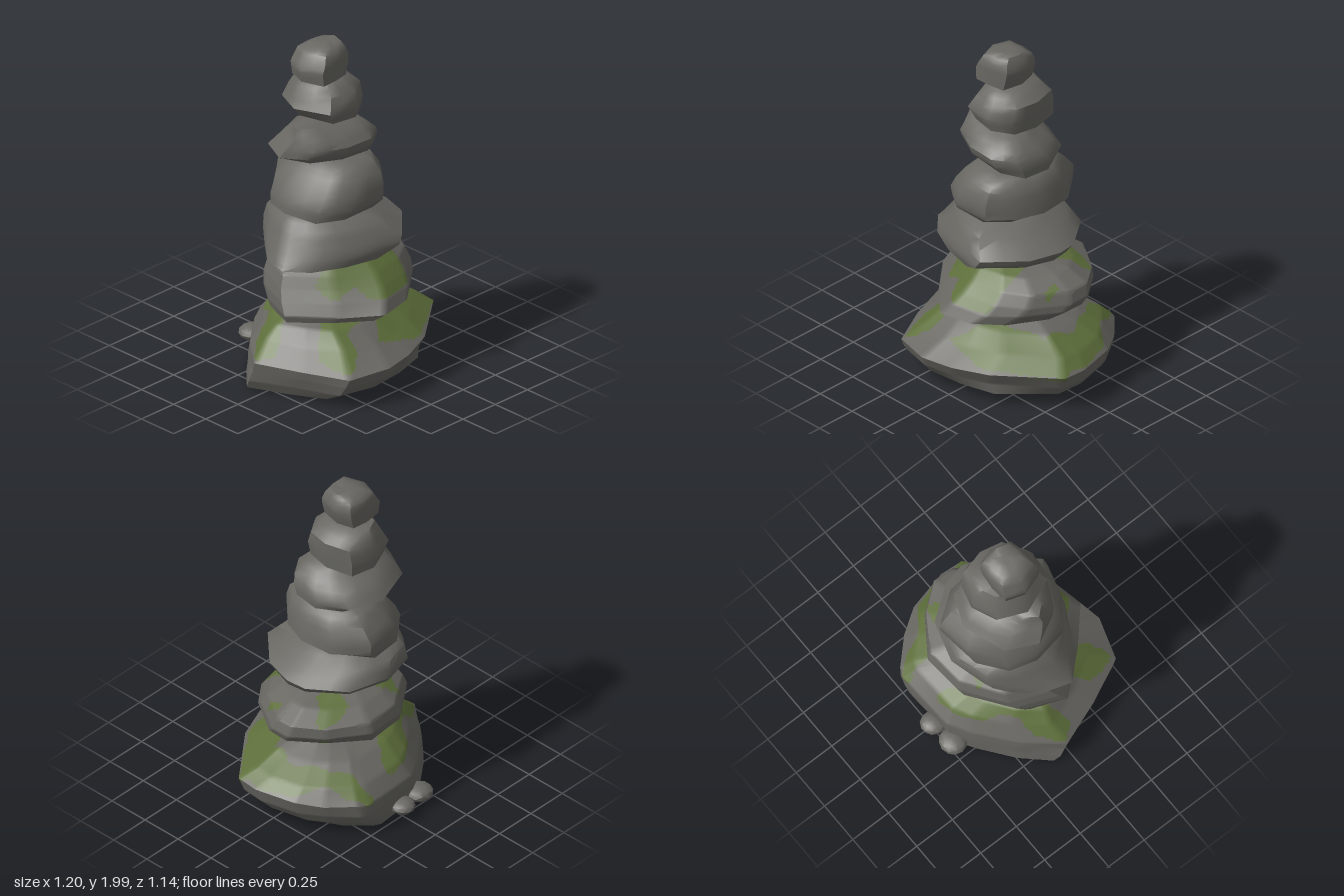
import * as THREE from 'three';
import { toCreasedNormals } from 'three/addons/utils/BufferGeometryUtils.js';

const stone = new THREE.MeshStandardMaterial({ color: 0x686762 });
stone.name = 'grey stone';
const moss = new THREE.MeshStandardMaterial({ color: 0x5e6f3b });
moss.name = 'green moss';

// Small repeatable irregularity in -1..1
const wobble = (a, b, c) => {
  const s = Math.sin(a * 12.99 + b * 78.23 + c * 37.72) * 43758.55;
  return (s - Math.floor(s)) * 2 - 1;
};

function inside(poly, x, z) {
  let hit = false;
  for (let i = 0, j = poly.length - 1; i < poly.length; j = i++) {
    const [ax, az] = poly[i], [bx, bz] = poly[j];
    if ((az > z) !== (bz > z) && x < ((bx - ax) * (z - az)) / (bz - az) + ax) hit = !hit;
  }
  return hit;
}

// A boulder: one plan outline [x, z], fitted into each layer
// [y, xMin, xMax, zMin, zMax, slope along x, slope along z], from bottom to top.
// The outline grows rounder towards the top; foot is a fuller outline for the lowest layers.
function boulder(name, seed, { outline, foot = outline, layers, patches = [], mossFrom = 0 }) {
  const xs = outline.map((p) => p[0]), zs = outline.map((p) => p[1]);
  const x0 = Math.min(...xs), x1 = Math.max(...xs), z0 = Math.min(...zs), z1 = Math.max(...zs);
  const rings = layers.map(([y, ax, bx, az, bz, sx = 0, sz = 0], k) => (k < 3 ? foot : outline).map(([px, pz], i) => {
    const rough = ax === bx ? 0 : 0.006;
    const round = 0.7 * (k / (layers.length - 1)) ** 2;
    let u = 2 * (px - x0) / (x1 - x0) - 1, v = 2 * (pz - z0) / (z1 - z0) - 1;
    const fit = THREE.MathUtils.lerp(1, 1 / Math.hypot(u, v), round) * (1 + wobble(seed, k, i) * rough);
    u *= fit;
    v *= fit;
    const x = (ax + bx + (bx - ax) * u) / 2, z = (az + bz + (bz - az) * v) / 2;
    return new THREE.Vector3(x, y + sx * x + sz * z + wobble(i, seed, k) * rough, z);
  }));

  // Fine cells only where moss needs a soft border
  const n = patches.length ? 8 : 2;
  const grey = [], green = [];
  const tri = (a, b, c) => {
    const area = b.clone().sub(a).cross(c.clone().sub(a)).length();
    if (area < 1e-9) return;
    const m = a.clone().add(b).add(c).divideScalar(3);
    const mx = m.x + 0.01 * Math.sin(m.z * 31 + m.y * 17), mz = m.z + 0.01 * Math.sin(m.x * 27);
    const mossy = m.y > mossFrom && patches.some((p) => inside(p, mx, mz));
    for (const v of [a, b, c]) (mossy ? green : grey).push(v.x, v.y, v.z);
  };
  for (let k = 0; k < rings.length - 1; k++) {
    for (let i = 0; i < outline.length; i++) {
      const j = (i + 1) % outline.length;
      const at = (u, v) => rings[k][i].clone().lerp(rings[k][j], u)
        .lerp(rings[k + 1][i].clone().lerp(rings[k + 1][j], u), v);
      for (let s = 0; s < n; s++) for (let t = 0; t < n; t++) {
        const a = at(s / n, t / n), b = at((s + 1) / n, t / n);
        const c = at(s / n, (t + 1) / n), d = at((s + 1) / n, (t + 1) / n);
        tri(a, c, b);
        tri(b, c, d);
      }
    }
  }
  const geo = new THREE.BufferGeometry();
  geo.setAttribute('position', new THREE.Float32BufferAttribute(grey.concat(green), 3));
  geo.addGroup(0, grey.length / 3, 0);
  if (green.length) geo.addGroup(grey.length / 3, green.length / 3, 1);
  const mesh = new THREE.Mesh(toCreasedNormals(geo, 0.85), [stone, moss]);
  mesh.name = name;
  return mesh;
}

const boulders = {
  baseStone: {
    outline: [[-0.6, -0.03], [-0.43, -0.22], [-0.22, -0.4], [-0.1, -0.48], [0.26, -0.51], [0.32, -0.49], [0.45, -0.34],
      [0.54, -0.2], [0.6, 0.04], [0.59, 0.18], [0.25, 0.43], [0.05, 0.52], [-0.14, 0.57], [-0.38, 0.5], [-0.49, 0.24]],
    foot: [[-0.6, -0.03], [-0.43, -0.22], [-0.22, -0.4], [-0.1, -0.48], [0.26, -0.51], [0.32, -0.49], [0.45, -0.34],
      [0.54, -0.2], [0.6, 0.04], [0.59, 0.22], [0.31, 0.5], [0.09, 0.57], [-0.14, 0.59], [-0.38, 0.54], [-0.49, 0.26]],
    layers: [
      [0.018, 0, 0, 0, 0], [0.035, -0.58, 0.42, -0.47, 0.36, 0.03, 0.05], [0.085, -0.595, 0.52, -0.49, 0.46, 0.01],
      [0.15, -0.6, 0.57, -0.5, 0.54], [0.215, -0.6, 0.6, -0.5, 0.57, 0.03], [0.3, -0.49, 0.52, -0.43, 0.43],
      [0.375, -0.42, 0.38, -0.31, 0.31], [0.425, -0.3, 0.24, -0.17, 0.18], [0.44, 0, 0, 0, 0]],
    mossFrom: 0.215,
    patches: [
      [[0.22, -0.5], [0.27, -0.5], [0.33, -0.4], [0.4, -0.28], [0.52, -0.16], [0.57, -0.06], [0.59, 0.18],
        [0.25, 0.43], [0.05, 0.45], [-0.08, 0.41], [0, 0.32], [0.13, 0.2], [0.36, 0.12], [0.4, -0.08],
        [0.32, -0.2], [0.24, -0.34]],
      [[-0.4, 0.28], [-0.28, 0.16], [0, 0.18], [0, 0.26], [-0.22, 0.32], [-0.25, 0.41], [-0.35, 0.48], [-0.39, 0.45]],
      [[-0.6, -0.03], [-0.47, -0.14], [-0.36, -0.16], [-0.22, -0.32], [-0.1, -0.43], [0.02, -0.44], [0.02, -0.35],
        [-0.13, -0.2], [-0.33, -0.02], [-0.48, 0.04], [-0.53, 0.06]]],
  },
  secondStone: {
    outline: [[-0.47, 0.05], [-0.37, -0.2], [-0.13, -0.38], [0.12, -0.41], [0.34, -0.24], [0.48, -0.06], [0.47, 0.08],
      [0.33, 0.31], [0.18, 0.43], [-0.05, 0.48], [-0.26, 0.29]],
    layers: [
      [0.45, 0, 0, 0, 0], [0.455, -0.46, 0.3, -0.28, 0.43, 0.03], [0.49, -0.47, 0.4, -0.34, 0.48, 0.03],
      [0.55, -0.45, 0.47, -0.39, 0.44, 0.02], [0.605, -0.42, 0.49, -0.41, 0.39], [0.67, -0.38, 0.47, -0.39, 0.33],
      [0.73, -0.29, 0.35, -0.3, 0.26], [0.765, -0.2, 0.21, -0.2, 0.2], [0.77, 0, 0, 0, 0]],
    mossFrom: 0.56,
    patches: [
      [[-0.28, 0.13], [0.19, 0.1], [0.22, 0.28], [0.17, 0.44], [-0.08, 0.44], [-0.12, 0.3], [-0.28, 0.26]],
      [[0.15, -0.26], [0.22, -0.27], [0.36, -0.24], [0.35, -0.18], [0.24, -0.08], [0.15, -0.1]],
      [[0.38, 0.05], [0.42, 0.04], [0.42, 0.12], [0.38, 0.13]],
      [[-0.32, -0.14], [-0.24, -0.17], [-0.16, -0.31], [-0.07, -0.26], [-0.1, -0.12], [-0.22, -0.07]]],
  },
  thirdStone: {
    outline: [[-0.5, 0.07], [-0.43, -0.15], [-0.3, -0.31], [-0.06, -0.37], [0.2, -0.3], [0.36, -0.1], [0.38, 0.02],
      [0.32, 0.2], [0.11, 0.4], [-0.14, 0.33], [-0.36, 0.22]],
    layers: [
      [0.76, -0.05, -0.05, 0, 0], [0.772, -0.5, 0.2, -0.25, 0.35, 0.01], [0.83, -0.46, 0.35, -0.34, 0.4, 0.02],
      [0.885, -0.42, 0.38, -0.375, 0.395], [0.96, -0.37, 0.24, -0.345, 0.32], [1.015, -0.31, 0.13, -0.24, 0.2],
      [1.035, -0.18, 0.06, -0.12, 0.12], [1.045, -0.05, -0.05, 0, 0]],
  },
  fourthStone: {
    outline: [[-0.35, -0.03], [-0.3, -0.2], [-0.13, -0.33], [0.1, -0.36], [0.24, -0.18], [0.26, 0.02], [0.2, 0.18],
      [0.08, 0.3], [-0.16, 0.29], [-0.31, 0.19]],
    layers: [
      [1.03, -0.03, -0.03, 0, 0], [1.04, -0.35, 0.19, -0.34, 0.27, 0.04], [1.09, -0.345, 0.26, -0.36, 0.3],
      [1.17, -0.3, 0.245, -0.365, 0.3], [1.25, -0.24, 0.22, -0.3, 0.275], [1.305, -0.17, 0.18, -0.25, 0.22],
      [1.325, -0.1, 0.1, -0.14, 0.13], [1.33, 0.01, 0.01, 0, 0]],
  },
  fifthStone: {
    outline: [[-0.38, -0.04], [-0.29, -0.22], [-0.04, -0.31], [0.14, -0.23], [0.22, -0.06], [0.2, 0.14], [0.07, 0.23],
      [-0.12, 0.21], [-0.3, 0.11]],
    layers: [
      [1.335, -0.05, -0.05, 0, 0], [1.345, -0.35, 0.22, -0.25, 0.18, -0.05], [1.385, -0.385, 0.22, -0.31, 0.22, 0, 0.05],
      [1.44, -0.36, 0.2, -0.25, 0.235], [1.5, -0.33, 0.14, -0.14, 0.18], [1.54, -0.31, 0.07, -0.08, 0.1, -0.04],
      [1.56, -0.12, -0.12, 0, 0]],
  },
  sixthStone: {
    outline: [[-0.27, -0.04], [-0.2, -0.2], [-0.06, -0.25], [0.1, -0.21], [0.14, -0.04], [0.11, 0.11], [-0.02, 0.19],
      [-0.19, 0.16]],
    layers: [
      [1.565, -0.05, -0.05, -0.03, -0.03], [1.572, -0.22, 0.13, -0.25, 0.17, -0.06], [1.65, -0.275, 0.14, -0.255, 0.195],
      [1.73, -0.23, 0.14, -0.235, 0.16], [1.79, -0.18, 0.05, -0.19, 0.1, -0.04], [1.81, -0.06, -0.06, -0.05, -0.05]],
  },
  topStone: {
    outline: [[-0.24, -0.03], [-0.2, -0.14], [-0.08, -0.15], [0.03, -0.14], [0.06, -0.04], [0.03, 0.08], [-0.08, 0.1],
      [-0.19, 0.1]],
    layers: [
      [1.8, -0.1, -0.1, -0.02, -0.02], [1.805, -0.23, 0.03, -0.145, 0.105], [1.88, -0.245, 0.055, -0.15, 0.105],
      [1.92, -0.225, 0.06, -0.15, 0.105], [1.965, -0.195, 0.045, -0.14, 0.09], [1.995, -0.13, 0.025, -0.09, 0.06, 0.04],
      [2, -0.04, -0.04, -0.02, -0.02]],
  },
};

export function createModel() {
  const cairn = new THREE.Group();
  cairn.name = 'stackedStones';
  Object.entries(boulders).forEach(([name, data], i) => cairn.add(boulder(name, i + 1, data)));

  // Two pebbles resting against the back of the base
  [[-0.16, -0.475, 0.083], [-0.01, -0.495, 0.074]].forEach(([x, z, r], i) => {
    const geo = new THREE.IcosahedronGeometry(r, 1);
    geo.scale(1, 0.55, 0.95).rotateY(i * 0.8);
    const pebble = new THREE.Mesh(toCreasedNormals(geo, 0.5), stone);
    pebble.position.set(x, 0.075, z);
    pebble.name = 'pebble';
    cairn.add(pebble);
  });
  return cairn;
}
